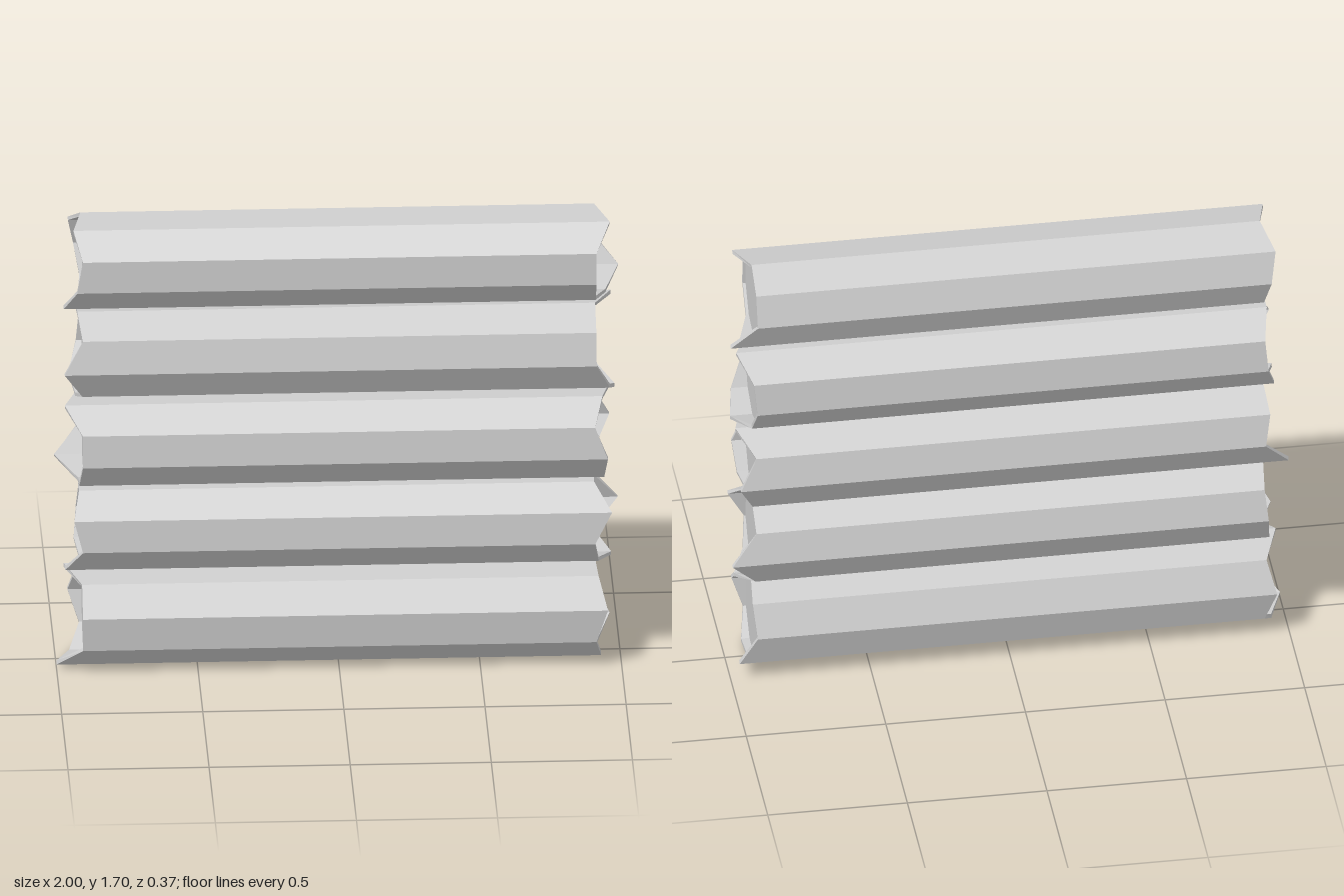
import * as THREE from 'three';

const SIDES = 9;
const CAP_X = 0.9;   // plane of the sawn wood, recessed inside the bark
const RZ = 0.188;    // log half depth
const INNER = 0.92;  // inner bark radius relative to outer

// Each log: centre height, half height, phase of the first corner (degrees from
// +z towards +y) and how far the bark reaches past x = 0 at each corner.
const LOGS = [
  { y: 0.184, ry: 0.184, phase: 15,
    plus: [0.95, 0.92, 0.91, 0.92, 0.91, 0.97, 0.92, 0.93, 0.91],
    minus: [0.91, 0.91, 0.97, 0.92, 0.95, 0.91, 0.95, 1.0, 0.91] },
  { y: 0.532, ry: 0.170, phase: 25,
    plus: [0.965, 0.905, 0.91, 0.91, 1.0, 0.91, 0.97, 0.92, 0.905],
    minus: [0.94, 0.92, 0.92, 0.91, 0.92, 0.93, 0.91, 0.97, 0.91] },
  { y: 0.856, ry: 0.172, phase: 26,
    plus: [0.905, 0.935, 0.97, 0.91, 0.97, 0.92, 0.91, 0.94, 0.95],
    minus: [0.91, 0.97, 0.92, 0.93, 0.91, 1.0, 0.92, 0.92, 0.91] },
  { y: 1.196, ry: 0.176, phase: 33,
    plus: [0.91, 0.91, 0.97, 0.92, 0.91, 0.92, 0.98, 0.96, 0.91],
    minus: [0.91, 0.925, 0.93, 0.91, 0.92, 0.95, 0.93, 0.91, 0.975] },
  { y: 1.539, ry: 0.171, phase: 22,
    plus: [0.91, 0.96, 0.91, 0.91, 0.91, 1.0, 0.95, 0.91, 0.91],
    minus: [0.91, 0.94, 0.91, 0.95, 0.93, 0.91, 0.92, 0.975, 0.93] },
];

// Joins a run of rings, ordered from +x to -x, into a flat faceted surface.
function loft(rings) {
  const pos = [];
  const tri = (...pts) => pts.forEach((p) => pos.push(p.x, p.y, p.z));
  for (let i = 0; i < rings.length - 1; i++) {
    for (let k = 0; k < SIDES; k++) {
      const n = (k + 1) % SIDES;
      const a = rings[i][k], b = rings[i][n];
      const c = rings[i + 1][k], d = rings[i + 1][n];
      if (!a.equals(b)) tri(a, b, c);
      if (!c.equals(d)) tri(b, d, c);
    }
  }
  const geo = new THREE.BufferGeometry();
  geo.setAttribute('position', new THREE.Float32BufferAttribute(pos, 3));
  geo.computeVertexNormals();
  return geo;
}

export function createModel() {
  const model = new THREE.Group();
  model.name = 'logWall';
  const material = new THREE.MeshStandardMaterial({ color: 0xcccccc, flatShading: true });

  LOGS.forEach(({ y, ry, phase, plus, minus }, index) => {
    // One ring of corners; reach(k) gives x for each corner
    const ring = (scale, reach) => Array.from({ length: SIDES }, (_, k) => {
      const a = THREE.MathUtils.degToRad(phase + (k * 360) / SIDES);
      return new THREE.Vector3(reach(k), scale * ry * Math.sin(a), scale * RZ * Math.cos(a));
    });
    const right = (k) => plus[k];
    const left = (k) => -minus[k];

    const log = new THREE.Group();
    log.name = `log${index + 1}`;
    log.position.y = y;

    // Bark shell with ragged ends that fold back inside to the sawn wood
    const bark = new THREE.Mesh(loft([
      ring(INNER, () => CAP_X), ring(INNER, right), ring(1, right),
      ring(1, left), ring(INNER, left), ring(INNER, () => -CAP_X),
    ]), material);
    bark.name = 'bark';
    log.add(bark);

    // Sawn end faces
    const rightEnd = new THREE.Mesh(loft([ring(0, () => CAP_X), ring(INNER, () => CAP_X)]), material);
    rightEnd.name = 'sawnEndLeft';
    const leftEnd = new THREE.Mesh(loft([ring(INNER, () => -CAP_X), ring(0, () => -CAP_X)]), material);
    leftEnd.name = 'sawnEndRight';
    log.add(rightEnd, leftEnd);

    model.add(log);
  });

  return model;
}
